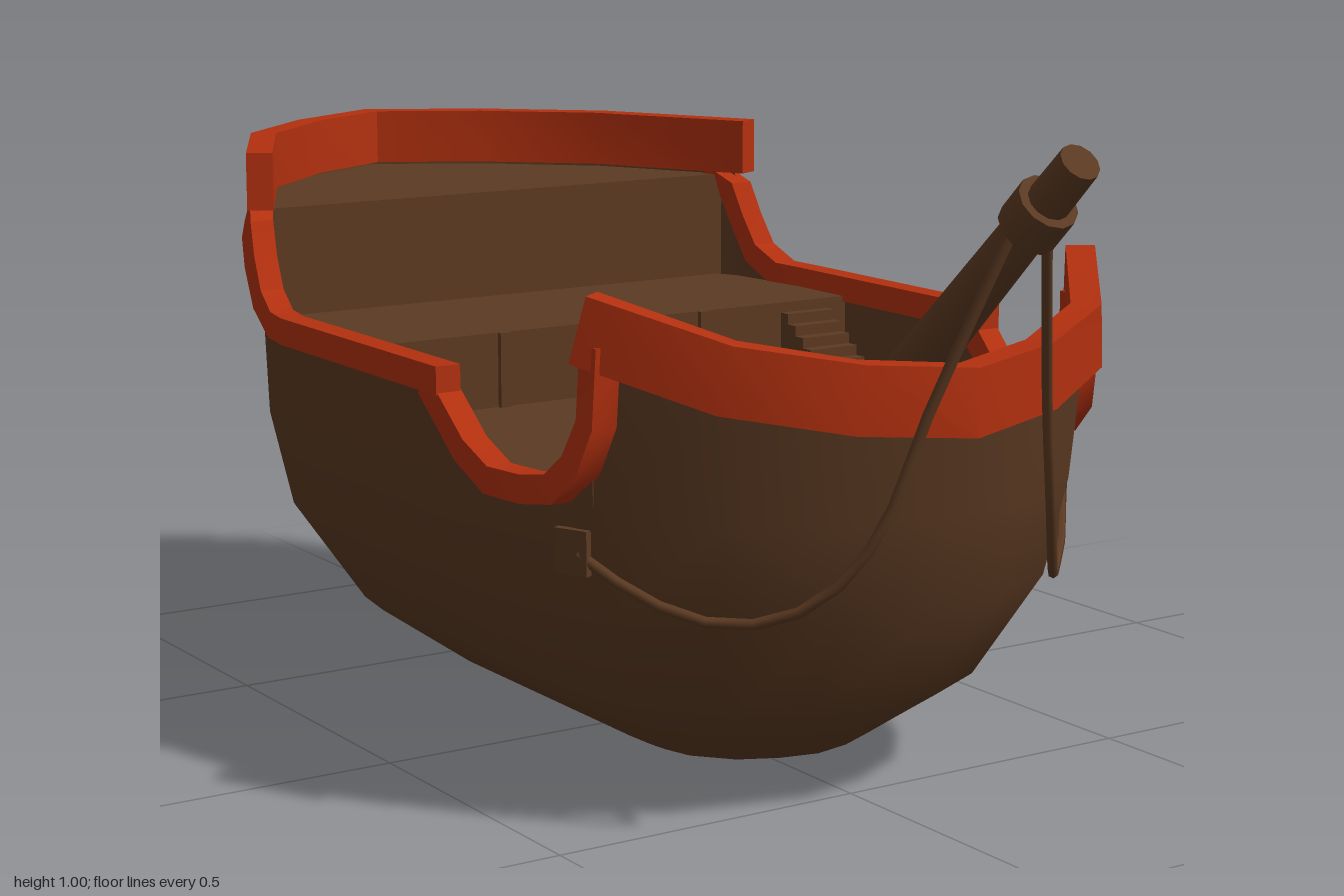
import * as THREE from 'three';
import { toCreasedNormals } from 'three/addons/utils/BufferGeometryUtils.js';

const wood = new THREE.MeshStandardMaterial({ color: 0x5c3a22, side: THREE.DoubleSide });
wood.name = 'brown wood';
const red = new THREE.MeshStandardMaterial({ color: 0xb2300f });
red.name = 'red trim';

// Half plan of the gunwale, bow to stern: [z, x]
const PLAN = [[0.76, 0], [0.72, 0.16], [0.635, 0.315], [0.47, 0.44], [0.33, 0.475], [0.19, 0.495],
  [-0.31, 0.495], [-0.48, 0.47], [-0.73, 0.335], [-0.88, 0.175], [-0.98, 0]];
// Hull fullness by height: [y, width, bow reach, stern reach]
const LEVELS = [[0, 0, 0, 0], [0.04, 0.38, 0.33, 0.29], [0.15, 0.7, 0.66, 0.6],
  [0.31, 0.92, 0.86, 0.83], [0.48, 0.985, 0.95, 0.98], [0.6, 1, 1, 1]];
// Top edge of the hull, bow to stern: [z, y]
const EDGE = [[0.76, 0.64], [0.72, 0.65], [0.635, 0.68], [0.485, 0.73], [0.48, 0.6], [0.46, 0.54],
  [0.42, 0.505], [0.33, 0.495], [0.29, 0.5], [0.24, 0.53], [0.19, 0.575], [0.15, 0.62], [-0.31, 0.62],
  [-0.37, 0.62], [-0.43, 0.655], [-0.465, 0.71], [-0.49, 0.79], [-0.73, 0.8], [-0.88, 0.8], [-0.98, 0.8]];

// Piecewise linear lookup in a table sorted by its first column
function lookup(table, v, col) {
  for (let i = 1; i < table.length; i++) {
    const a = table[i - 1], b = table[i];
    if ((v - a[0]) * (v - b[0]) <= 0) return a[col] + (b[col] - a[col]) * (v - a[0]) / (b[0] - a[0]);
  }
  return table[table.length - 1][col];
}
const planX = z => lookup(PLAN, z, 1);

// Point on the hull skin for a gunwale station z at height y
function skin(z, y) {
  const [w, f, b] = [1, 2, 3].map(c => lookup(LEVELS, Math.min(y, 0.6), c));
  const zz = z > 0.25 ? 0.25 + (z - 0.25) * f : z < -0.3 ? -0.3 + (z + 0.3) * b : z;
  return [planX(z) * w, y, zz];
}

function meshFrom(positions, index, name, material, crease) {
  const g = new THREE.BufferGeometry();
  g.setAttribute('position', new THREE.Float32BufferAttribute(positions, 3));
  g.setIndex(index);
  return named(new THREE.Mesh(toCreasedNormals(g, crease), material), name);
}
function named(obj, name) {
  obj.name = name;
  return obj;
}

// Hull: closed rings from the keel up to the stepped top edge
function hull() {
  const pos = [], idx = [], rows = 6;
  const ring = [...EDGE.map(e => [...e, 1]), ...EDGE.slice(1, -1).reverse().map(e => [...e, -1])];
  const n = ring.length;
  for (let r = 0; r < rows; r++) {
    for (const [z, top, s] of ring) {
      const p = skin(z, [0, 0.04, 0.15, 0.31, 0.46, top][r]);
      pos.push(p[0] * s, p[1], p[2]);
    }
  }
  for (let r = 0; r < rows - 1; r++) {
    for (let i = 0; i < n; i++) {
      const a = r * n + i, b = r * n + (i + 1) % n;
      idx.push(a, b, b + n, a, b + n, a + n);
    }
  }
  return meshFrom(pos, idx, 'hull', wood, 0.9);
}

// Rectangular rail swept along a path; the outward direction is fixed or follows the plan
function rail(name, path, halfW, halfH, out) {
  const pts = path.map(p => new THREE.Vector3(...p));
  const pos = [], idx = [], up = new THREE.Vector3(0, 1, 0), last = pts.length - 1;
  pts.forEach((p, i) => {
    const t1 = pts[Math.min(i + 1, last)].clone().sub(pts[Math.min(i, last - 1)]).normalize();
    const t0 = pts[Math.max(i, 1)].clone().sub(pts[Math.max(i - 1, 0)]).normalize();
    const t = t0.clone().add(t1).normalize();
    const miter = 1 / Math.max(0.6, t.dot(t1));
    const N = out ? out.clone() : t.clone().cross(up).normalize();
    const B = N.clone().cross(t).normalize();
    for (const [b, o] of [[1, 1], [-1, 1], [-1, -1], [1, -1]]) {
      const q = p.clone().addScaledVector(N, o * halfW * (out ? 1 : miter))
        .addScaledVector(B, b * halfH * (out ? miter : 1));
      pos.push(q.x, q.y, q.z);
    }
    if (i === last) return;
    for (let j = 0; j < 4; j++) {
      const a = i * 4 + j, b = i * 4 + (j + 1) % 4;
      idx.push(a, b, b + 4, a, b + 4, a + 4);
    }
  });
  const e = last * 4;
  idx.push(0, 2, 1, 0, 3, 2, e, e + 1, e + 2, e, e + 2, e + 3);
  return meshFrom(pos, idx, name, red, 0.5);
}

// Deck block filling the hull between two stations
function deck(name, zBow, zStern, y, depth) {
  const zs = [zBow, ...PLAN.map(p => p[0]).filter(z => z < zBow && z > zStern), zStern];
  const half = zs.map(z => skin(z, y - depth)).map(p => [p[0] * 0.985, -p[2] * 0.992]);
  const other = half.slice().reverse().map(p => [-p[0], p[1]]);
  const shape = new THREE.Shape([...half, ...other].map(p => new THREE.Vector2(...p)));
  const g = new THREE.ExtrudeGeometry(shape, { depth, bevelEnabled: false });
  g.rotateX(-Math.PI / 2).translate(0, y - depth, 0);
  return named(new THREE.Mesh(g, wood), name);
}

function box(name, w, h, d, x, y, z, ry = 0) {
  const m = new THREE.Mesh(new THREE.BoxGeometry(w, h, d), wood);
  m.position.set(x, y, z);
  m.rotation.y = ry;
  return named(m, name);
}

// Flight of solid steps rising from the low end to the high end
function stairs(name, low, high, y0, y1, width, steps) {
  const g = named(new THREE.Group(), name);
  const dx = high[0] - low[0], dz = high[1] - low[1], run = Math.hypot(dx, dz) / steps;
  for (let i = 0; i < steps; i++) {
    const k = (i + 0.5) / steps, h = (y1 - y0) * (i + 1) / (steps + 1);
    g.add(box('step', width, h, run, low[0] + dx * k, y0 + h / 2, low[1] + dz * k, Math.atan2(dx, dz)));
  }
  return g;
}

// Cylinder between two points
function spar(name, a, b, r0, r1) {
  const A = new THREE.Vector3(...a), d = new THREE.Vector3(...b).sub(A);
  const g = new THREE.CylinderGeometry(r1, r0, d.length(), 12);
  const m = new THREE.Mesh(toCreasedNormals(g, 0.8), wood);
  m.position.copy(A).addScaledVector(d, 0.5);
  m.quaternion.setFromUnitVectors(new THREE.Vector3(0, 1, 0), d.normalize());
  return named(m, name);
}

export function createModel() {
  const ship = named(new THREE.Group(), 'ship');
  ship.add(hull());

  // Decks, each a step higher toward the stern
  ship.add(deck('mainDeck', 0.74, -0.2, 0.49, 0.02));
  ship.add(deck('middleDeck', -0.18, -0.53, 0.61, 0.13));
  ship.add(deck('sternDeck', -0.51, -0.98, 0.788, 0.19));

  // Bow and stern rails wrap around both sides
  const bow = PLAN.slice(0, 4).map(([z, x]) => [x, 0.632 + (0.76 - z) * 0.345, z]);
  const stern = PLAN.slice(7).map(([z, x]) => [x, 0.839, z]);
  stern[0] = [planX(-0.46), 0.839, -0.46];
  const flip = p => [-p[0], p[1], p[2]];
  ship.add(rail('bowRail', [...bow.slice(1).reverse().map(flip), ...bow], 0.022, 0.049));
  ship.add(rail('sternRail', [...stern, ...stern.slice(0, -1).reverse().map(flip)], 0.021, 0.046));

  // Side rails: low notch behind the bow, then the waist curving up to the stern
  const notch = [[0.49, 0.71], [0.485, 0.6], [0.465, 0.54], [0.425, 0.502], [0.37, 0.494], [0.3, 0.496],
    [0.24, 0.53], [0.15, 0.612]];
  const waist = [[0.19, 0.622], [-0.31, 0.622], [-0.37, 0.624], [-0.43, 0.655], [-0.465, 0.71],
    [-0.488, 0.76], [-0.53, 0.785]];
  for (const s of [1, -1]) {
    const out = new THREE.Vector3(s, 0, 0);
    for (const [name, line] of [['notchRail', notch], ['waistRail', waist]]) {
      const path = line.map(([z, y]) => [planX(z) * s, y, z]);
      ship.add(rail(name, s > 0 ? path : path.reverse(), 0.02, 0.021, out));
    }

    // Stairs and bow platforms
    ship.add(stairs('sternStairs', [s * 0.395, -0.05], [s * 0.395, -0.18], 0.49, 0.61, 0.095, 6));
    ship.add(stairs('bowStairs', [s * 0.385, 0.41], [s * 0.31, 0.51], 0.49, 0.57, 0.08, 6));
    ship.add(box('bowPlatform', 0.085, 0.07, 0.22, s * 0.225, 0.525, 0.57, Math.atan2(-s * 0.19, 0.12)));
    ship.add(box('bulkheadPost', 0.02, 0.12, 0.012, s * 0.19, 0.55, -0.176));

    // Rope hanging from the bowsprit to an eye plate on the hull
    const rope = new THREE.CatmullRomCurve3([[0.03, 0.88, 0.88], [0.1, 0.64, 0.805], [0.155, 0.45, 0.755],
      [0.215, 0.355, 0.69], [0.29, 0.322, 0.605], [0.37, 0.35, 0.525], [0.435, 0.41, 0.445]]
      .map(p => new THREE.Vector3(p[0] * s, p[1], p[2])));
    ship.add(named(new THREE.Mesh(new THREE.TubeGeometry(rope, 14, 0.008, 6), wood), 'rope'));
    ship.add(box('ropePlate', 0.012, 0.065, 0.055, s * 0.438, 0.412, 0.436, -s * 0.42));
  }

  // Bowsprit with its collar
  ship.add(spar('bowsprit', [0, 0.47, 0.44], [0, 0.98, 0.978], 0.043, 0.029));
  ship.add(spar('bowspritCollar', [0, 0.882, 0.875], [0, 0.922, 0.917], 0.044, 0.044));
  return ship;
}
